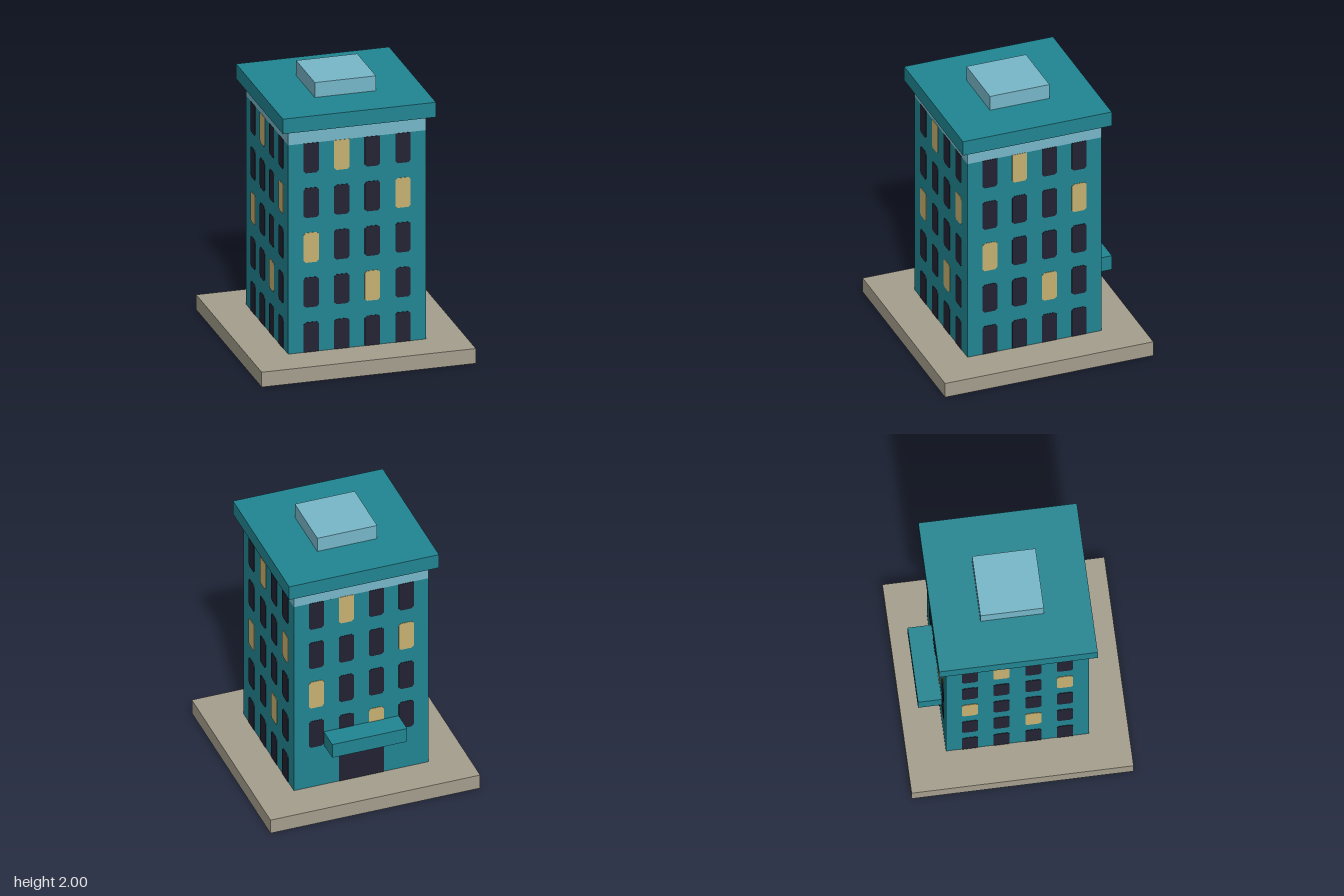
import * as THREE from 'three';

const U = 1 / 9; // building module

function material(name, color) {
  const m = new THREE.MeshStandardMaterial({ color });
  m.name = name;
  return m;
}

// Box given by its width, vertical range, depth and z centre
function block(name, mat, w, y0, y1, d, z = 0) {
  const mesh = new THREE.Mesh(new THREE.BoxGeometry(w, y1 - y0, d), mat);
  mesh.name = name;
  mesh.position.set(0, (y0 + y1) / 2, z);
  return mesh;
}

// Thin window plate with clipped corners; cb and ct are the bottom and top clips
function windowGeometry(cb, ct) {
  const x = U / 2, y = U;
  const s = new THREE.Shape([
    [-x + cb, -y], [x - cb, -y], [x, -y + cb], [x, y - ct],
    [x - ct, y], [-x + ct, y], [-x, y - ct], [-x, -y + cb],
  ].map(([a, b]) => new THREE.Vector2(a, b)));
  return new THREE.ExtrudeGeometry(s, { depth: 0.003, bevelEnabled: false });
}

export function createModel() {
  const teal = material('teal wall', 0x218693);
  const paleBlue = material('pale blue trim', 0x77b8ca);
  const stone = material('stone', 0xa59f8e);
  const dark = material('dark glass', 0x222233);
  const lit = material('lit glass', 0xc8b272);

  const model = new THREE.Group();
  model.name = 'apartmentTower';

  // Stacked masses
  model.add(
    block('pavement', stone, 14 * U, 0, U, 14 * U),
    block('walls', teal, 1, U, 15 * U, 1),
    block('upperBand', paleBlue, 1, 15 * U, 16 * U, 1),
    block('roofSlab', teal, 10 * U, 16 * U, 17 * U, 10 * U),
    block('roofHatch', paleBlue, 4 * U, 17 * U, 18 * U, 4 * U),
  );

  // Rear entrance
  model.add(
    block('awning', teal, 5 * U, 4 * U, 5 * U, 1.5 * U, -0.5 - 0.75 * U),
    block('door', dark, 3 * U, U, 4 * U, 0.006, -0.5),
  );

  // Windows: five floors of four on each side, one lit per upper floor
  const clip = 0.016;
  const lower = windowGeometry(0, clip);
  const middle = windowGeometry(clip, clip);
  const upper = windowGeometry(clip, 0);
  const litColumn = [-1, 2, 0, 3, 1];
  for (let side = 0; side < 4; side++) {
    const facade = new THREE.Group();
    facade.name = ['front', 'left', 'back', 'right'][side] + 'Windows';
    facade.rotation.y = side * Math.PI / 2;
    for (let row = 0; row < 5; row++) {
      if (side === 2 && row === 0) continue; // the door takes this floor
      const geometry = row === 0 ? lower : row === 4 ? upper : middle;
      for (let col = 0; col < 4; col++) {
        const isLit = litColumn[row] === col;
        const pane = new THREE.Mesh(geometry, isLit ? lit : dark);
        pane.name = isLit ? 'litWindow' : 'darkWindow';
        pane.position.set((col - 1.5) * 2 * U, (2 + 3 * row) * U, 0.5);
        facade.add(pane);
      }
    }
    model.add(facade);
  }
  return model;
}
